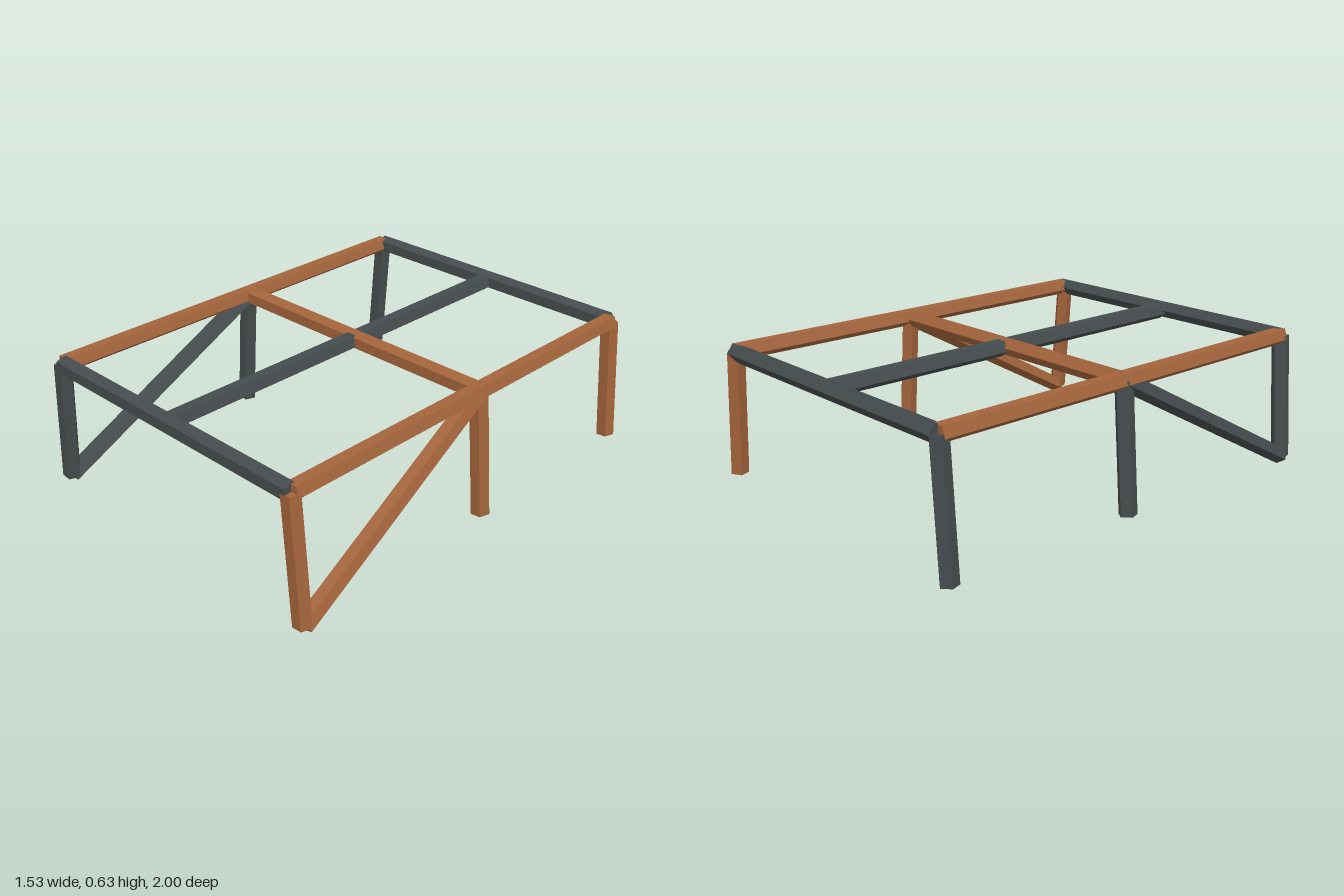
import * as THREE from 'three';

export function createModel() {
  const group = new THREE.Group();
  const brown = new THREE.MeshStandardMaterial({ color: 0xa3643b, flatShading: true });
  brown.name = 'copper brown';
  const dark = new THREE.MeshStandardMaterial({ color: 0x454c4d, flatShading: true });
  dark.name = 'slate grey';

  const R = 0.04;
  const DOWN = new THREE.Vector3(0, -1, 0);
  const BACK = new THREE.Vector3(0, 0, -1);

  // Five-sided beam from a to b, with one ridge turned towards "ridge"
  function beam(name, material, a, b, ridge) {
    const start = new THREE.Vector3(...a);
    const end = new THREE.Vector3(...b);
    const axis = end.clone().sub(start);
    const length = axis.length();
    axis.normalize();
    const z = ridge.clone().addScaledVector(axis, -ridge.dot(axis)).normalize();
    const x = new THREE.Vector3().crossVectors(axis, z);
    const mesh = new THREE.Mesh(new THREE.CylinderGeometry(R, R, length, 5), material);
    mesh.name = name;
    mesh.quaternion.setFromRotationMatrix(new THREE.Matrix4().makeBasis(x, axis, z));
    mesh.position.copy(start).add(end).multiplyScalar(0.5);
    group.add(mesh);
  }

  const TOP = 0.588, FOOT = 0.036;      // axis heights
  const XT = 0.682, XF = 0.726;         // half widths at top and foot
  const Z = { front: 0.966, middle: -0.045, back: -0.96 };

  // Cross bars
  for (const [place, z] of Object.entries(Z)) {
    beam(place + 'CrossBar', place === 'middle' ? brown : dark, [-XT, TOP, z], [XT, TOP, z], BACK);
  }

  // Each side: rail, three splayed legs and a diagonal brace
  for (const [side, s, material] of [['left', 1, brown], ['right', -1, dark]]) {
    beam(side + 'Rail', brown, [s * XT, TOP, Z.back], [s * XT, TOP, Z.front], DOWN);
    for (const [place, z] of Object.entries(Z)) {
      beam(`${side}${place}Leg`, material, [s * XF, FOOT, z], [s * XT, TOP, z], BACK);
    }
    beam(side + 'Brace', material, [s * XF, FOOT, Z.front], [s * XT, TOP, Z.middle], DOWN);
  }

  // Centre rail in two lengths, meeting at the middle bar
  beam('centreRailFront', dark, [0, TOP - 0.004, Z.middle + 0.01], [0, TOP - 0.004, Z.front - 0.02], DOWN);
  beam('centreRailBack', dark, [0, TOP - 0.004, Z.back + 0.02], [0, TOP - 0.004, Z.middle - 0.03], DOWN);

  return group;
}
